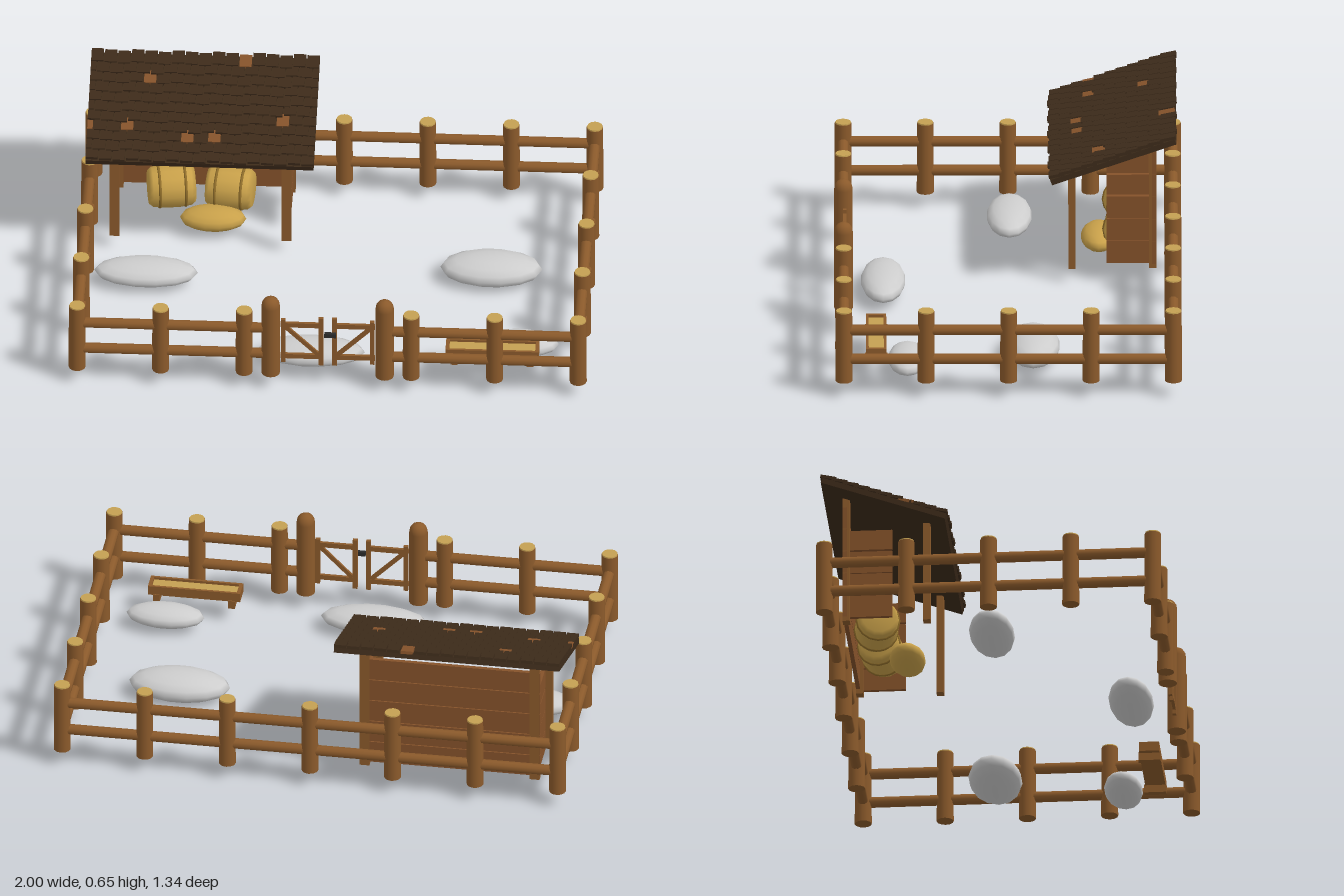
import * as THREE from 'three';
import { mergeGeometries } from 'three/addons/utils/BufferGeometryUtils.js';

const material = (name, color) => {
  const m = new THREE.MeshStandardMaterial({ color });
  m.name = name;
  return m;
};

export function createModel() {
  const wood = material('fence wood', 0x8b5a2b);
  const plank = material('shed planks', 0x85522a);
  const cut = material('cut wood', 0xc4a052);
  const hay = material('hay', 0xc9a14a);
  const twine = material('hay twine', 0x8f6d2a);
  const shingle = material('dark shingles', 0x3d2b1a);
  const stone = material('stone', 0xcdcdcd);
  const iron = material('iron', 0x2b2b2b);

  const root = new THREE.Group();
  root.name = 'paddock';

  const add = (parent, name, geo, mat, x = 0, y = 0, z = 0) => {
    const m = new THREE.Mesh(geo, mat);
    m.name = name;
    m.position.set(x, y, z);
    parent.add(m);
    return m;
  };
  const box = (parent, name, mat, w, h, d, x, y, z) =>
    add(parent, name, new THREE.BoxGeometry(w, h, d), mat, x, y, z);
  const group = (name, x = 0, y = 0, z = 0) => {
    const g = new THREE.Group();
    g.name = name;
    g.position.set(x, y, z);
    root.add(g);
    return g;
  };

  // Fence posts with pale cut tops
  const fence = group('fence');
  const X = 0.967, Z = 0.635;
  const postGeo = new THREE.CylinderGeometry(0.032, 0.033, 0.287, 12);
  const capGeo = new THREE.CylinderGeometry(0.03, 0.031, 0.006, 12);
  const post = (x, z) => {
    add(fence, 'fencePost', postGeo, wood, x, 0.2085, z);
    add(fence, 'postTop', capGeo, cut, x, 0.354, z);
  };
  for (let i = -3; i <= 3; i++) {
    post(i * X / 3, -Z);
    if (i !== 0) post(i * X / 3, Z);
  }
  for (const x of [-X, X]) for (const z of [-0.318, 0, 0.318]) post(x, z);

  // Round rails, two high, open at the gate
  const rail = (length, x, z, alongX) => {
    for (const y of [0.155, 0.275]) {
      const r = add(fence, 'rail', new THREE.CylinderGeometry(0.021, 0.021, length, 10), wood, x, y, z);
      if (alongX) r.rotation.z = Math.PI / 2;
      else r.rotation.x = Math.PI / 2;
    }
  };
  rail(2 * X, 0, -Z, true);
  for (const s of [-1, 1]) {
    rail(2 * Z, s * X, 0, false);
    rail(X - 0.22, s * (X + 0.22) / 2, Z, true);
  }

  // Gate: domed posts and two braced leaves
  const gate = group('gate', 0, 0, Z);
  const domed = new THREE.LatheGeometry([
    [0, 0.065], [0.036, 0.065], [0.036, 0.065], [0.036, 0.38], [0.033, 0.398], [0.024, 0.411], [0.012, 0.418], [0, 0.42],
  ].map(([r, y]) => new THREE.Vector2(r, y)), 14);
  for (const s of [-1, 1]) {
    add(gate, 'gatePost', domed, wood, s * 0.22);
    const leaf = new THREE.Group();
    leaf.name = s < 0 ? 'rightGateLeaf' : 'leftGateLeaf';
    gate.add(leaf);
    box(leaf, 'outerStile', wood, 0.018, 0.2, 0.014, s * 0.172, 0.215, -0.005);
    box(leaf, 'innerStile', wood, 0.018, 0.22, 0.014, s * 0.026, 0.215, -0.005);
    for (const y of [0.143, 0.29]) box(leaf, 'gateRail', wood, 0.165, 0.02, 0.012, s * 0.1, y, -0.005);
    const brace = box(leaf, 'brace', wood, 0.185, 0.016, 0.01, s * 0.1, 0.216, -0.005);
    brace.rotation.z = s * 0.79;
  }
  box(gate, 'latch', iron, 0.045, 0.018, 0.014, 0.01, 0.255, 0.009);

  // Shed: corner posts, plank back and short side walls
  const cx = -0.535;
  const shed = group('shed', cx, 0, 0);
  for (const s of [-1, 1]) {
    box(shed, 'frontShedPost', wood, 0.038, 0.41, 0.028, s * 0.332, 0.265, -0.246);
    box(shed, 'backShedPost', wood, 0.038, 0.52, 0.028, s * 0.332, 0.325, -0.557);
    for (let i = 0; i < 4; i++)
      box(shed, 'sidePlank', plank, 0.016, i < 3 ? 0.09 : 0.082, 0.165, s * 0.335, 0.128 + i * 0.0935, -0.462);
  }
  for (let i = 0; i < 5; i++)
    box(shed, 'backPlank', plank, 0.705, 0.09, 0.016, 0, 0.128 + i * 0.0935, -0.562);

  // Sloping roof deck
  const roof = group('roof', cx, 0.54, -0.405);
  roof.rotation.x = 0.34;
  box(roof, 'roofDeck', shingle, 0.88, 0.022, 0.508, 0, 0, 0);

  // Staggered shingle rows, a few left as bare wood
  const bare = [[2, 4.5], [0, 11], [6, 14], [7, 3.5], [8, 7], [8, 9], [7, 0]];
  const dark = [], light = [];
  const rows = 11, cols = 17, pitch = 0.885 / cols, step = 0.5 / rows;
  for (let r = 0; r < rows; r++) {
    const shift = r % 2 ? 0.5 : 0;
    for (let c = 0; c <= cols; c++) {
      const a = Math.max(0, c - shift), b = Math.min(cols, c + 1 - shift);
      if (b - a < 0.1) continue;
      const g = new THREE.BoxGeometry((b - a) * pitch - 0.005, 0.012, 0.062);
      g.rotateX(-0.13);
      g.translate((a + b) / 2 * pitch - 0.4425, 0.02, -0.23 + r * step + 0.004 * ((c * 7 + r * 3) % 3 - 1));
      const isBare = bare.some(([br, bc]) => br === r && Math.floor(bc) === c);
      (isBare ? light : dark).push(g);
    }
  }
  add(roof, 'shingles', mergeGeometries(dark), shingle);
  const patches = add(roof, 'bareShingles', mergeGeometries(light), plank);
  patches.position.y = -0.003;

  // Round hay bales tied with twine
  const baleGeo = new THREE.LatheGeometry([
    [0, -0.09], [0.066, -0.09], [0.078, -0.075], [0.084, -0.03], [0.084, 0.03], [0.078, 0.075], [0.066, 0.09], [0, 0.09],
  ].map(([r, y]) => new THREE.Vector2(r, y)), 14);
  const bandGeo = new THREE.TorusGeometry(0.081, 0.006, 6, 16);
  bandGeo.rotateX(Math.PI / 2);
  [[-0.658, 0.15], [-0.43, -0.12]].forEach(([x, turn]) => {
    const bale = group('hayBale', x, 0.145, -0.455);
    bale.rotation.set(0, turn, Math.PI / 2);
    add(bale, 'baleBody', baleGeo, hay);
    for (const y of [-0.05, 0.05]) add(bale, 'twine', bandGeo, twine, 0, y, 0);
  });

  // Flattened mounds: loose hay and stones
  const moundGeo = new THREE.SphereGeometry(1, 14, 8);
  const mound = (name, mat, x, y, z, rx, ry, rz) =>
    add(root, name, moundGeo, mat, x, y, z).scale.set(rx, ry, rz);
  mound('hayPile', hay, -0.492, 0.074, -0.35, 0.128, 0.045, 0.07);
  mound('stone', stone, -0.733, 0.061, -0.005, 0.2, 0.046, 0.088);
  mound('stone', stone, -0.072, 0.061, 0.482, 0.208, 0.046, 0.087);
  mound('stone', stone, 0.595, 0.06, -0.095, 0.197, 0.056, 0.104);
  mound('stone', stone, 0.728, 0.06, 0.39, 0.152, 0.042, 0.075);

  // Feed trough on two cross feet
  const trough = group('trough', 0.63, 0, 0.51);
  box(trough, 'troughFloor', wood, 0.36, 0.012, 0.075, 0, 0.101, 0);
  for (const s of [-1, 1]) {
    box(trough, 'troughSide', wood, 0.36, 0.038, 0.01, 0, 0.114, s * 0.034);
    box(trough, 'troughEnd', wood, 0.014, 0.038, 0.075, s * 0.173, 0.114, 0);
    box(trough, 'troughFoot', wood, 0.026, 0.034, 0.086, s * 0.147, 0.082, 0);
  }
  box(trough, 'feed', cut, 0.334, 0.016, 0.06, 0, 0.115, 0);

  return root;
}
